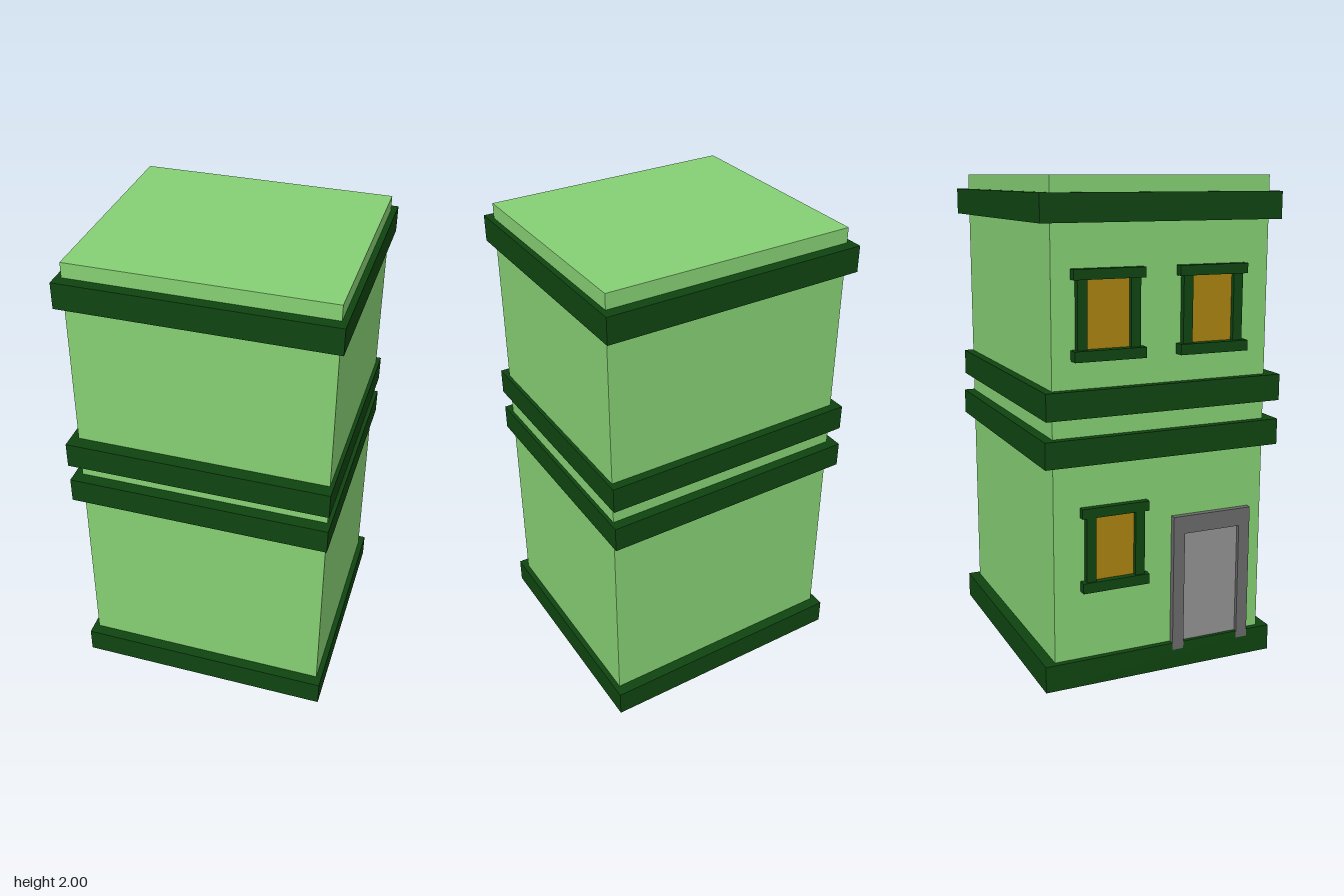
import * as THREE from 'three';

const mat = (name, color) => {
  const m = new THREE.MeshStandardMaterial({ color });
  m.name = name;
  return m;
};

export function createModel() {
  const wallGreen = mat('wall green', 0x85ce73);
  const trimGreen = mat('trim dark green', 0x0f4410);
  const amber = mat('window amber', 0xaa820f);
  const frameGrey = mat('door frame grey', 0x696969);
  const doorGrey = mat('door grey', 0x919191);

  const house = new THREE.Group();
  house.name = 'house';

  // Box given by its low and high limits on each axis
  const block = (parent, name, material, [x0, x1], [y0, y1], [z0, z1]) => {
    const mesh = new THREE.Mesh(new THREE.BoxGeometry(x1 - x0, y1 - y0, z1 - z0), material);
    mesh.position.set((x0 + x1) / 2, (y0 + y1) / 2, (z0 + z1) / 2);
    mesh.name = name;
    parent.add(mesh);
  };

  // Walls and roof
  const wallX = -0.512;
  block(house, 'walls', wallGreen, [wallX, 0.53], [0.02, 2], [-0.463, 0.456]);

  // Bands around the building
  block(house, 'baseBand', trimGreen, [-0.536, 0.553], [0, 0.11], [-0.51, 0.503]);
  block(house, 'lowerMiddleBand', trimGreen, [-0.545, 0.545], [0.915, 1.022], [-0.505, 0.508]);
  block(house, 'upperMiddleBand', trimGreen, [-0.545, 0.545], [1.1, 1.208], [-0.499, 0.512]);
  block(house, 'topBand', trimGreen, [-0.536, 0.553], [1.83, 1.938], [-0.51, 0.503]);

  // Window: pane, two jambs, lintel and sill on the right wall
  const addWindow = (name, z, y, width, sillX, lintelX) => {
    const g = new THREE.Group();
    g.name = name;
    const h = width / 2, inX = wallX + 0.01, top = y + 0.345;
    block(g, 'pane', amber, [wallX - 0.007, wallX], [y + 0.04, top - 0.035], [z - h + 0.04, z + h - 0.04]);
    for (const s of [-1, 1]) {
      const c = z + s * (h - 0.038);
      block(g, 'jamb', trimGreen, [-0.538, inX], [y + 0.02, top - 0.02], [c - 0.02, c + 0.02]);
    }
    block(g, 'lintel', trimGreen, [lintelX, inX], [top - 0.04, top], [z - h, z + h]);
    block(g, 'sill', trimGreen, [sillX, inX], [y, y + 0.042], [z - h, z + h]);
    house.add(g);
  };
  addWindow('upperBackWindow', -0.238, 1.318, 0.295, -0.556, -0.545);
  addWindow('upperFrontWindow', 0.203, 1.318, 0.295, -0.556, -0.545);
  addWindow('lowerWindow', -0.21, 0.395, 0.285, -0.546, -0.54);

  // Door with its frame
  const door = new THREE.Group();
  door.name = 'door';
  const d0 = 0.045, d1 = 0.395, dTop = 0.655, fx = [-0.537, wallX + 0.01];
  block(door, 'doorPanel', doorGrey, [wallX - 0.009, wallX], [0.1, dTop - 0.06], [d0 + 0.04, d1 - 0.04]);
  block(door, 'doorJamb', frameGrey, fx, [0.08, dTop - 0.075], [d0, d0 + 0.05]);
  block(door, 'doorJamb', frameGrey, fx, [0.08, dTop - 0.075], [d1 - 0.05, d1]);
  block(door, 'doorLintel', frameGrey, fx, [dTop - 0.075, dTop], [d0, d1]);
  house.add(door);

  return house;
}
